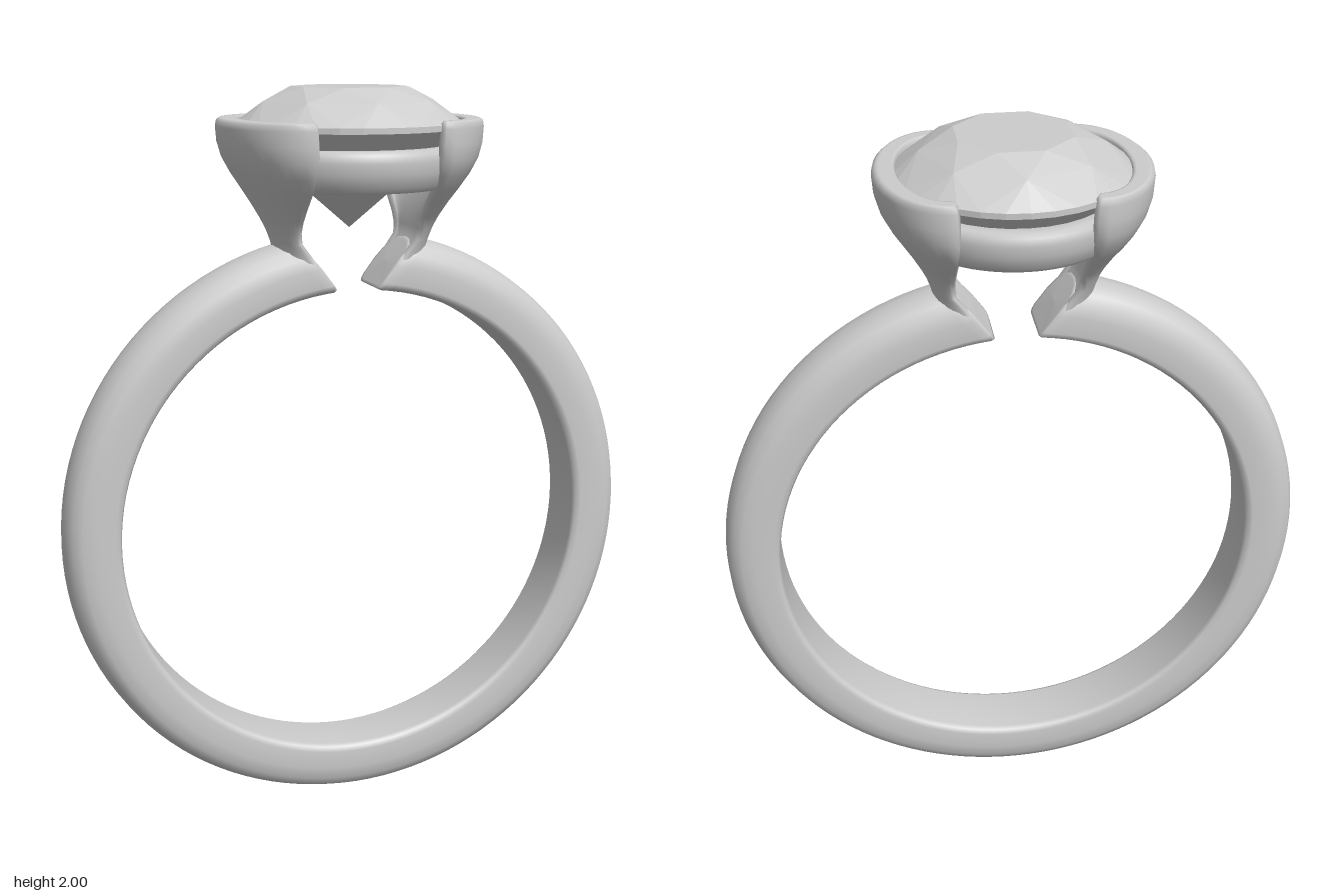
import * as THREE from 'three';
import { ConvexGeometry } from 'three/addons/geometries/ConvexGeometry.js';

// Skin a list of closed rings (each an array of Vector3) with smooth normals
function loft(rings) {
  const n = rings[0].length;
  const pos = [], idx = [];
  rings.forEach(ring => ring.forEach(p => pos.push(p.x, p.y, p.z)));
  for (let j = 0; j < rings.length - 1; j++) {
    for (let i = 0; i < n; i++) {
      const k = (i + 1) % n;
      const a = j * n + i, b = j * n + k, c = b + n, d = a + n;
      idx.push(a, b, d, b, c, d);
    }
  }
  const g = new THREE.BufferGeometry();
  g.setAttribute('position', new THREE.Float32BufferAttribute(pos, 3));
  g.setIndex(idx);
  g.computeVertexNormals();
  return g;
}

// Open band: domed outside, flat inside, with slanted ends at the top
function shankGeometry() {
  const half = [[0.81, 0], [0.805, 0.038], [0.79, 0.068], [0.765, 0.084], [0.73, 0.09],
    [0.68, 0.09], [0.666, 0.085], [0.66, 0.073], [0.66, 0]];
  const profile = [...half, ...half.slice(1, -1).reverse().map(([r, z]) => [r, -z])];
  const steps = 112;
  // t runs 0..1 around the band; the cut angle grows towards the outside
  const ring = (t, scale = 1) => profile.map(([r0, z0]) => {
    const r = 0.735 + (r0 - 0.735) * scale, z = z0 * scale;
    const start = THREE.MathUtils.mapLinear(r, 0.66, 0.81, 0.084, 0.206);
    const a = start + t * (2 * Math.PI - 2 * start);
    return new THREE.Vector3(r * Math.sin(a), 0.81 + r * Math.cos(a), z);
  });
  const rings = [ring(0, 0), ring(0, 0.85), ring(0, 0.95), ring(0.0025)];
  for (let i = 1; i < steps; i++) rings.push(ring(i / steps));
  rings.push(ring(0.9975), ring(1, 0.95), ring(1, 0.85), ring(1, 0));
  return loft(rings);
}

// Flared half-bezel: crescent sections stacked upwards
function shoulderGeometry() {
  // y, outer apex x, inner apex x, tip x, half width in z, tip thickness
  const levels = [
    [1.50, 0.205, 0.100, 0.100, 0.084, 0.030],
    [1.56, 0.208, 0.132, 0.132, 0.088, 0.030],
    [1.60, 0.216, 0.163, 0.163, 0.095, 0.030],
    [1.63, 0.227, 0.170, 0.168, 0.106, 0.032],
    [1.66, 0.242, 0.178, 0.168, 0.126, 0.034],
    [1.70, 0.265, 0.192, 0.167, 0.166, 0.038],
    [1.74, 0.290, 0.212, 0.167, 0.213, 0.042],
    [1.78, 0.316, 0.236, 0.167, 0.248, 0.045],
    [1.82, 0.338, 0.262, 0.167, 0.267, 0.046],
    [1.86, 0.350, 0.284, 0.167, 0.272, 0.046],
    [1.90, 0.353, 0.293, 0.169, 0.272, 0.046],
    [1.914, 0.350, 0.294, 0.172, 0.270, 0.043],
    [1.92, 0.341, 0.298, 0.178, 0.264, 0.034],
  ];
  const n = 20;
  const section = ([y, xo, xi, xe, w, th], collapse = 0) => {
    const outer = [], inner = [];
    for (let i = 0; i <= n; i++) {
      const phi = Math.PI / 2 - Math.PI * i / n;
      const c = Math.max(0, Math.cos(phi)), s = Math.sin(phi);
      const o = new THREE.Vector3(xe + (xo - xe) * c, y, w * s);
      const v = new THREE.Vector3(xe + (xi - xe) * c, y, (w - th) * s);
      const mid = o.clone().lerp(v, 0.5);
      outer.push(o.lerp(mid, collapse));
      inner.push(v.lerp(mid, collapse));
    }
    const tip = side => new THREE.Vector3(xe - 0.008 * (1 - collapse), y, side * (w - th / 2));
    return [...outer, tip(-1), ...inner.reverse(), tip(1)];
  };
  const top = levels[levels.length - 1];
  return loft([...levels.map(l => section(l)), section(top, 0.3), section(top, 1)]);
}

// Rounded rail under the stone
function railGeometry() {
  const pts = [[0.225, 1.75], [0.24, 1.74], [0.262, 1.742], [0.28, 1.757], [0.292, 1.79],
    [0.296, 1.82], [0.293, 1.84], [0.282, 1.85], [0.245, 1.85], [0.228, 1.84], [0.225, 1.75]];
  return new THREE.LatheGeometry(pts.map(([r, y]) => new THREE.Vector2(r, y)), 72);
}

// Round brilliant cut: table, crown, girdle and pointed pavilion
function gemGeometry() {
  const pts = [new THREE.Vector3(0, 1.63, 0)];
  const ring = (count, r, y, offset) => {
    for (let i = 0; i < count; i++) {
      const a = (i + offset) / count * Math.PI * 2;
      pts.push(new THREE.Vector3(r * Math.sin(a), y, r * Math.cos(a)));
    }
  };
  ring(8, 0.155, 2.0, 0.5);
  ring(8, 0.235, 1.964, 0);
  ring(32, 0.302, 1.908, 0);
  ring(32, 0.302, 1.893, 0);
  return new ConvexGeometry(pts);
}

export function createModel() {
  const model = new THREE.Group();
  model.name = 'ring';
  const grey = new THREE.MeshStandardMaterial({ color: 0xcccccc });
  grey.name = 'lightGrey';
  const add = (name, geometry) => {
    const mesh = new THREE.Mesh(geometry, grey);
    mesh.name = name;
    model.add(mesh);
    return mesh;
  };

  add('shank', shankGeometry());
  const shoulder = shoulderGeometry();
  add('leftShoulder', shoulder);
  add('rightShoulder', shoulder).rotation.y = Math.PI;
  add('rail', railGeometry());
  add('gem', gemGeometry());
  return model;
}
